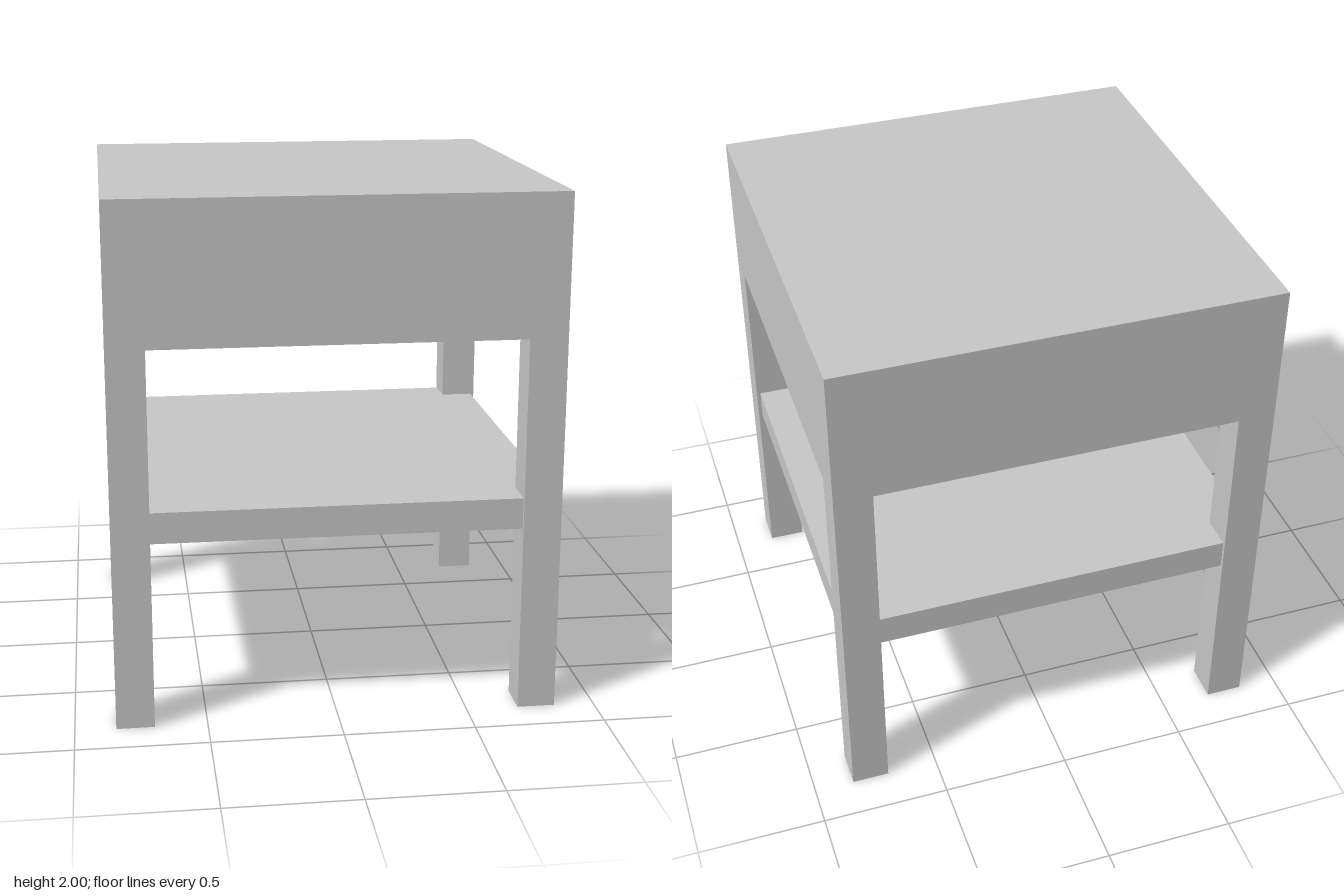
import * as THREE from 'three';

const HALF = 0.845;   // half width of the table
const INNER = 0.70;   // inner face of the legs
const SHELF = 0.83;   // half width of the shelf, just inside the leg faces
const APRON_Y = 1.46; // underside of the top block

export function createModel() {
  const grey = new THREE.MeshStandardMaterial({ color: 0xc8c8c8, side: THREE.DoubleSide });
  grey.name = 'light grey';
  const model = new THREE.Group();
  model.name = 'sideTable';

  const add = (name, geometry, x, y, z) => {
    const mesh = new THREE.Mesh(geometry, grey);
    mesh.name = name;
    mesh.position.set(x, y, z);
    model.add(mesh);
  };

  // Deep top block
  add('tableTop', new THREE.BoxGeometry(HALF * 2, 2 - APRON_Y, HALF * 2), 0, (2 + APRON_Y) / 2, 0);

  // Hollow square legs, open at the foot
  const legGeometry = new THREE.CylinderGeometry(
    (HALF - INNER) / Math.SQRT2, (HALF - INNER) / Math.SQRT2, APRON_Y, 4, 1, true
  ).rotateY(Math.PI / 4).toNonIndexed();
  legGeometry.computeVertexNormals();
  const c = (HALF + INNER) / 2;
  for (const [name, x, z] of [
    ['frontLeftLeg', c, c], ['frontRightLeg', -c, c],
    ['backLeftLeg', c, -c], ['backRightLeg', -c, -c],
  ]) add(name, legGeometry, x, APRON_Y / 2, z);

  // Shelf, notched at its corners around the legs
  const a = SHELF, b = INNER;
  const outline = new THREE.Shape([
    [-b, -a], [b, -a], [b, -b], [a, -b], [a, b], [b, b],
    [b, a], [-b, a], [-b, b], [-a, b], [-a, -b], [-b, -b],
  ].map(([x, y]) => new THREE.Vector2(x, y)));
  const shelf = new THREE.ExtrudeGeometry(outline, { depth: 0.12, bevelEnabled: false });
  add('shelf', shelf.rotateX(-Math.PI / 2), 0, 0.725, 0);

  return model;
}
